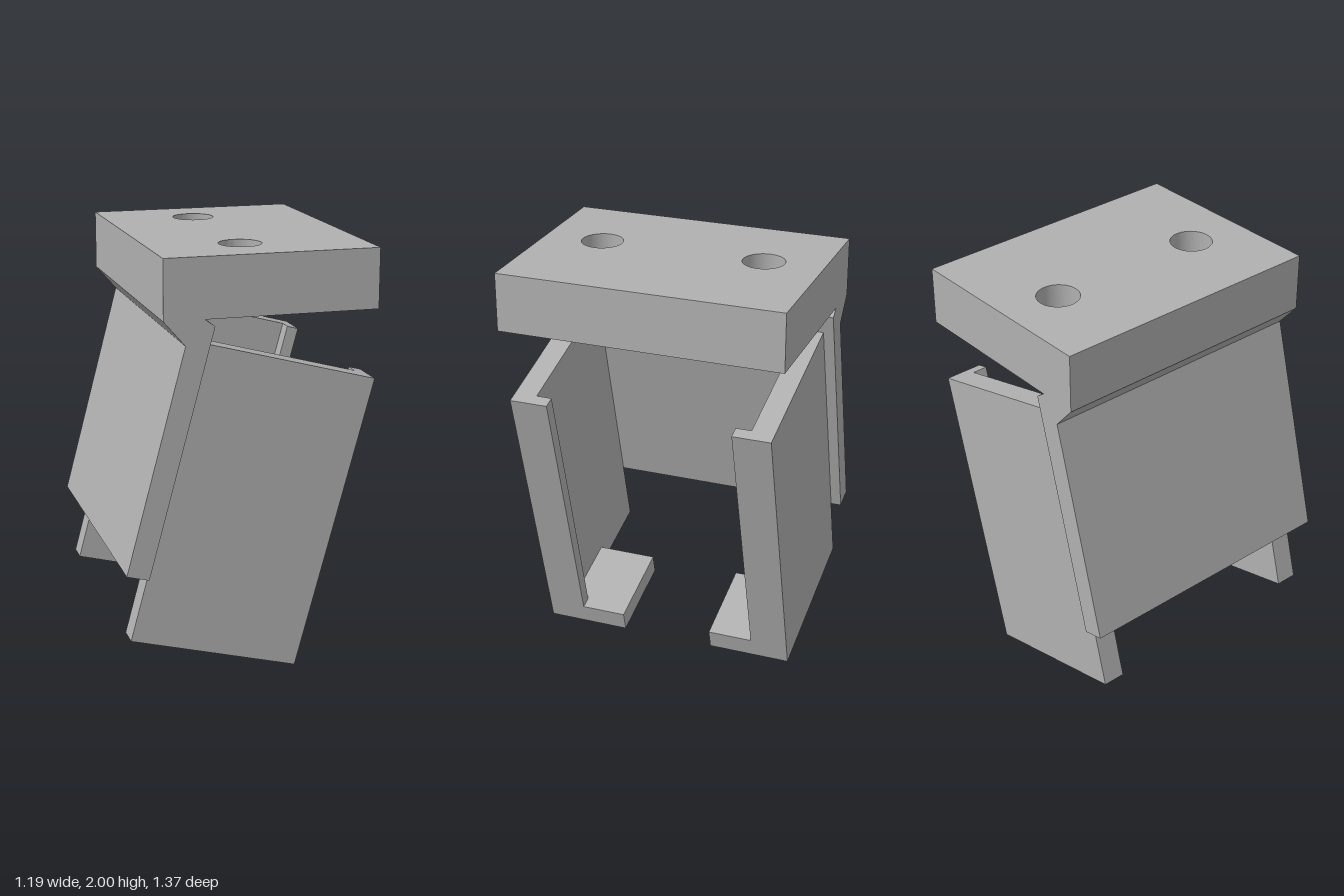
import * as THREE from 'three';
import { toCreasedNormals } from 'three/addons/utils/BufferGeometryUtils.js';

export function createModel() {
  const model = new THREE.Group();
  model.name = 'clipBracket';
  const grey = new THREE.MeshStandardMaterial({ color: 0xb0b0b0 });
  grey.name = 'grey';

  const add = (parent, name, geometry) => {
    const mesh = new THREE.Mesh(geometry, grey);
    mesh.name = name;
    parent.add(mesh);
    return mesh;
  };
  const box = (parent, name, x0, x1, y0, y1, z0, z1) => {
    const mesh = add(parent, name, new THREE.BoxGeometry(x1 - x0, y1 - y0, Math.abs(z1 - z0)));
    mesh.position.set((x0 + x1) / 2, (y0 + y1) / 2, (z0 + z1) / 2);
  };

  const halfDepth = 0.685, holeFloor = 1.8;

  // Slab underside, neck and slanted back plate as one extruded profile
  const profile = new THREE.Shape([
    [-0.42, holeFloor], [-0.42, 1.72], [-0.32, 1.605], [-0.6, 0.553], [-0.495, 0.525],
    [-0.184, 1.686], [-0.23, 1.72], [0.585, 1.72], [0.585, holeFloor],
  ].map(([x, y]) => new THREE.Vector2(x, y)));
  const back = add(model, 'slantedBackPlate',
    new THREE.ExtrudeGeometry(profile, { depth: halfDepth * 2, bevelEnabled: false }));
  back.position.z = -halfDepth;

  // Upper slab with two blind round holes
  const slab = new THREE.Shape([
    [-0.42, -halfDepth], [0.585, -halfDepth], [0.585, halfDepth], [-0.42, halfDepth],
  ].map(([x, y]) => new THREE.Vector2(x, y)));
  for (const z of [-0.4, 0.4]) {
    slab.holes.push(new THREE.Path().absarc(0.015, z, 0.1, 0, Math.PI * 2, true));
  }
  const slabGeometry = new THREE.ExtrudeGeometry(slab,
    { depth: 2 - holeFloor, bevelEnabled: false, curveSegments: 40 });
  slabGeometry.rotateX(-Math.PI / 2);
  add(model, 'topSlab', toCreasedNormals(slabGeometry, 0.5)).position.y = holeFloor;

  // Mirrored side guides, tilted with the back plate
  for (const side of [1, -1]) {
    const guide = new THREE.Group();
    guide.name = side > 0 ? 'frontGuide' : 'backGuide';
    guide.position.set(-0.573, 0.215, 0);
    guide.rotation.z = -Math.PI / 12;
    box(guide, 'guideWall', 0, 0.825, 0, 1.43, side * 0.525, side * 0.635);
    box(guide, 'guideLip', 0.765, 0.825, 0.1, 1.43, side * 0.45, side * 0.525);
    box(guide, 'guideFoot', 0.395, 0.825, 0, 0.1, side * 0.23, side * 0.525);
    model.add(guide);
  }
  return model;
}
